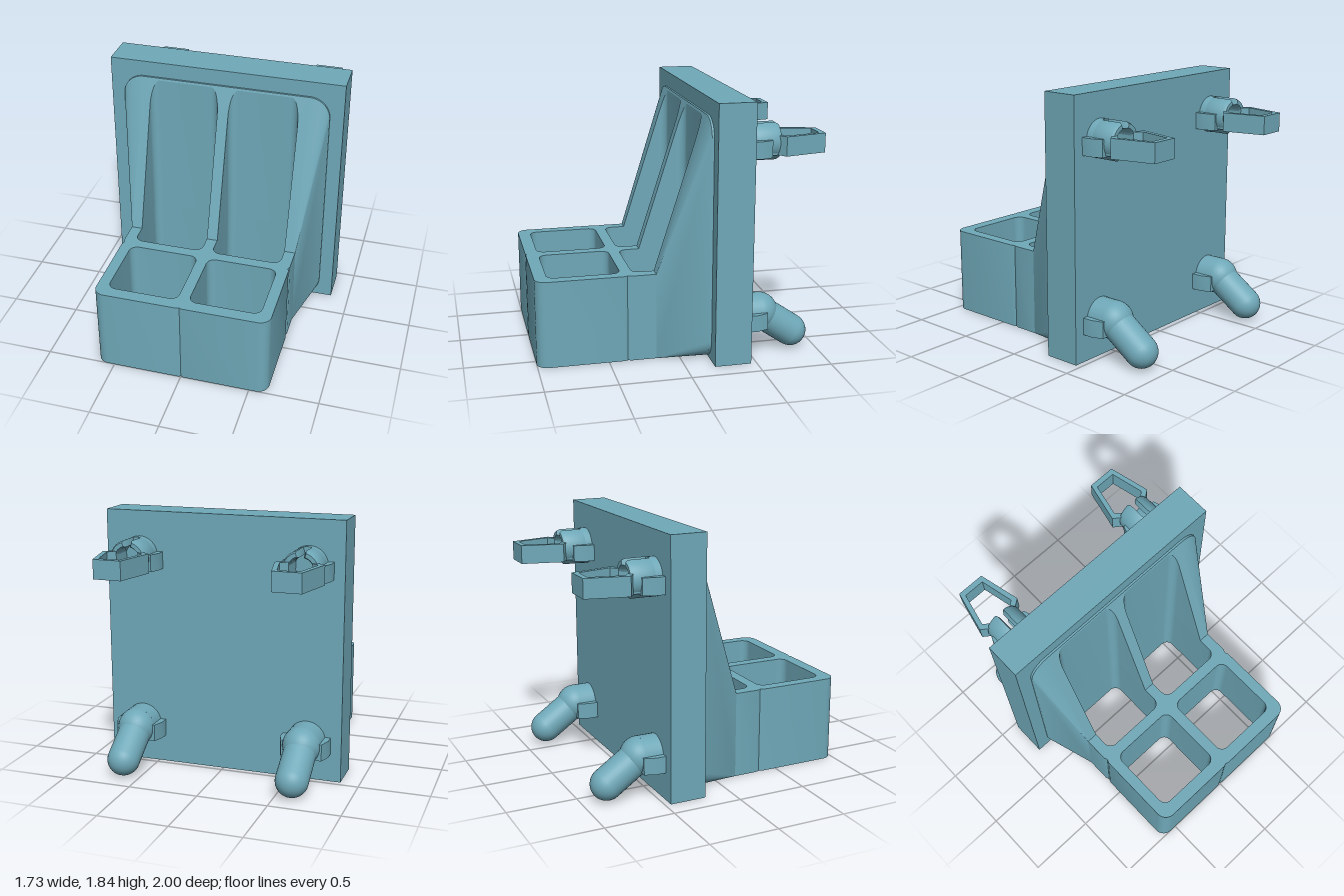
import * as THREE from 'three';
import { toCreasedNormals } from 'three/addons/utils/BufferGeometryUtils.js';

const material = new THREE.MeshStandardMaterial({ color: 0x6fa8b8 });
const FRONT = 0.165, BACK = -0.185, LOW = 0.625, HIGH = 1.725;
const slopeZ = y => FRONT + (y - LOW) / (HIGH - LOW) * (BACK - FRONT);
const slopeY = z => LOW + (FRONT - z) / (FRONT - BACK) * (HIGH - LOW);

function add(parent, name, geometry, x = 0, y = 0, z = 0) {
  const mesh = new THREE.Mesh(geometry, material);
  mesh.name = name;
  mesh.position.set(x, y, z);
  parent.add(mesh);
  return mesh;
}

const polygon = pts => new THREE.Shape(pts.map(p => new THREE.Vector2(...p)));

function roundedRect(x0, x1, y0, y1, r, Type = THREE.Shape) {
  const s = new Type();
  s.absarc(x1 - r, y0 + r, r, -Math.PI / 2, 0);
  s.absarc(x1 - r, y1 - r, r, 0, Math.PI / 2);
  s.absarc(x0 + r, y1 - r, r, Math.PI / 2, Math.PI);
  s.absarc(x0 + r, y0 + r, r, Math.PI, Math.PI * 1.5);
  s.closePath();
  return s;
}

function extrude(shape, depth, options = {}) {
  const g = new THREE.ExtrudeGeometry(shape, { depth, bevelEnabled: false, curveSegments: 10, ...options });
  return toCreasedNormals(g, 0.5);
}

// Plan shapes use (x, -z) and are extruded upwards
const extrudeUp = (shape, height) => extrude(shape, height).rotateX(-Math.PI / 2);

// Surface between two matching rows of points
function ruled(a, b) {
  const pos = [];
  for (let i = 0; i < a.length - 1; i++) {
    pos.push(...a[i], ...a[i + 1], ...b[i], ...a[i + 1], ...b[i + 1], ...b[i]);
  }
  const g = new THREE.BufferGeometry();
  g.setAttribute('position', new THREE.Float32BufferAttribute(pos, 3));
  g.computeVertexNormals();
  return toCreasedNormals(g, 0.5);
}

// Plan outline of a rear pocket, open at the front
function pocketOutline(x0, x1) {
  const r = 0.06, zb = -0.18, n = 10, left = [], right = [];
  for (let i = 0; i <= n; i++) {
    const a = i / n * Math.PI / 2;
    left.push([x0 + r - r * Math.cos(a), zb + r - r * Math.sin(a)]);
    right.push([x1 - r + r * Math.sin(a), zb + r - r * Math.cos(a)]);
  }
  return [[x0, FRONT], ...left, ...right, [x1, FRONT]];
}

function createBin() {
  // Outline with tiny seam notches at the middle of the front and sides
  const s = new THREE.Shape();
  s.moveTo(-0.615, 0.2);
  s.lineTo(-0.63, -FRONT);
  for (const [x, z] of [[-0.63, 0.34], [-0.62, 0.365], [-0.63, 0.39]]) s.lineTo(x, -z);
  s.absarc(-0.55, -0.92, 0.08, Math.PI, Math.PI * 1.5);
  for (const [x, z] of [[-0.02, 1], [0, 0.993], [0.02, 1]]) s.lineTo(x, -z);
  s.absarc(0.55, -0.92, 0.08, -Math.PI / 2, 0);
  for (const [x, z] of [[0.63, 0.39], [0.62, 0.365], [0.63, 0.34], [0.63, FRONT], [0.615, -0.2]]) s.lineTo(x, -z);
  s.closePath();
  for (const [x0, x1] of [[-0.55, -0.04], [0.04, 0.55]]) {
    for (const [z0, z1] of [[-0.18, 0.32], [0.4, 0.91]]) {
      s.holes.push(roundedRect(x0, x1, -z1, -z0, 0.06, THREE.Path));
    }
  }
  return extrudeUp(s, LOW);
}

function createButtress() {
  const group = new THREE.Group();
  group.name = 'buttress';
  const pockets = [pocketOutline(-0.55, -0.04), pocketOutline(0.04, 0.55)];

  // Sloping front of the ribs, with the pockets cut out
  const edge = [[-0.63, LOW], ...pockets.flat().map(([x, z]) => [x, slopeY(z)]),
    [0.63, LOW], [0.615, HIGH], [-0.615, HIGH]];
  const slope = new THREE.ShapeGeometry(polygon(edge));
  const p = slope.attributes.position;
  for (let i = 0; i < p.count; i++) p.setZ(i, slopeZ(p.getY(i)));
  slope.computeVertexNormals();
  add(group, 'ribFronts', slope);

  // Pocket walls rising to the slope
  for (const pocket of pockets) {
    add(group, 'pocketWall', ruled(pocket.map(([x, z]) => [x, LOW, z]),
      pocket.map(([x, z]) => [x, slopeY(z), z])));
  }

  // Flared sides blending the square bin into the rounded backing
  const a = [], b = [], n = 12, r = 0.15;
  for (const [cy, start, y] of [[HIGH - r, Math.PI / 2, LOW], [r, 0, 0]]) {
    for (let i = 0; i <= n; i++) {
      const t = start - i / n * Math.PI / 2;
      a.push([0.63, y, FRONT]);
      b.push([0.615 + r * Math.cos(t), cy + r * Math.sin(t), BACK]);
    }
  }
  for (const side of [1, -1]) add(group, 'flaredSide', ruled(a, b)).scale.x = side;
  add(group, 'backing', extrude(roundedRect(-0.765, 0.765, 0, HIGH, r), 0.015), 0, 0, -0.2);
  return group;
}

// Side wings shared by all pegs
function addWings(peg) {
  const wing = polygon([[-0.172, 0.46], [0.172, 0.46], [0.172, 0.52], [0.15, 0.61], [-0.15, 0.61], [-0.172, 0.52]]);
  for (const s of [1, -1]) {
    const half = polygon([[s * 0.09, 0.46], [s * 0.172, 0.46], [s * 0.172, 0.53], [s * 0.145, 0.61], [s * 0.09, 0.61]]);
    add(peg, 'wing', extrudeUp(half, 0.12), 0, -0.09, 0);
  }
}

const rod = (r, length) => new THREE.CylinderGeometry(r, r, length, 32).rotateX(Math.PI / 2);

function createHookPeg() {
  const peg = new THREE.Group();
  peg.name = 'hookPeg';
  add(peg, 'shank', rod(0.135, 0.125), 0, 0, -0.5225);
  add(peg, 'elbow', new THREE.SphereGeometry(0.135, 32, 20), 0, 0, -0.585);
  const from = new THREE.Vector3(0, 0, -0.585), to = new THREE.Vector3(0, -0.165, -0.825);
  const arm = add(peg, 'hookArm', new THREE.CapsuleGeometry(0.115, from.distanceTo(to), 10, 32));
  arm.position.lerpVectors(from, to, 0.5);
  arm.quaternion.setFromUnitVectors(new THREE.Vector3(0, 1, 0), to.sub(from).normalize());
  addWings(peg);
  return peg;
}

function createClipPeg() {
  const peg = new THREE.Group();
  peg.name = 'clipPeg';
  add(peg, 'base', rod(0.133, 0.05), 0, 0, -0.485);
  // Split sleeve
  const R = 0.123, r = 0.095, top = 1.27, bottom = -1.05;
  const shell = new THREE.Shape();
  shell.absarc(0, 0, R, bottom, top);
  shell.absarc(0, 0, r, top, bottom, true);
  shell.closePath();
  const sleeve = extrude(shell, 0.15, { bevelEnabled: true, bevelThickness: 0.02, bevelSize: 0.01, bevelSegments: 1 });
  for (const s of [1, -1]) add(peg, 'sleeve', sleeve, 0, 0, -0.66).scale.x = s;
  // Barbed spring loop
  const outer = [[0.115, 0.5], [0.115, 0.66], [0.17, 0.7], [0.1, 1]];
  const inner = [[0.075, 0.96], [0.13, 0.72], [0.08, 0.68], [0.08, 0.5]];
  const mirror = pts => pts.map(([x, d]) => [-x, d]).reverse();
  const loop = polygon([...outer, ...mirror(outer), ...mirror(inner), ...inner]);
  add(peg, 'springLoop', extrudeUp(loop, 0.135), 0, -0.08, 0);
  addWings(peg);
  return peg;
}

export function createModel() {
  const model = new THREE.Group();
  model.name = 'wallMountedHolder';
  add(model, 'backPlate', new THREE.BoxGeometry(1.73, 1.84, 0.26), 0, 0.92, -0.33);
  add(model, 'bin', createBin());
  model.add(createButtress());
  for (const x of [-0.617, 0.617]) {
    const hook = createHookPeg(), clip = createClipPeg();
    hook.position.set(x, 0.29, 0);
    clip.position.set(x, 1.527, 0);
    model.add(hook, clip);
  }
  return model;
}
